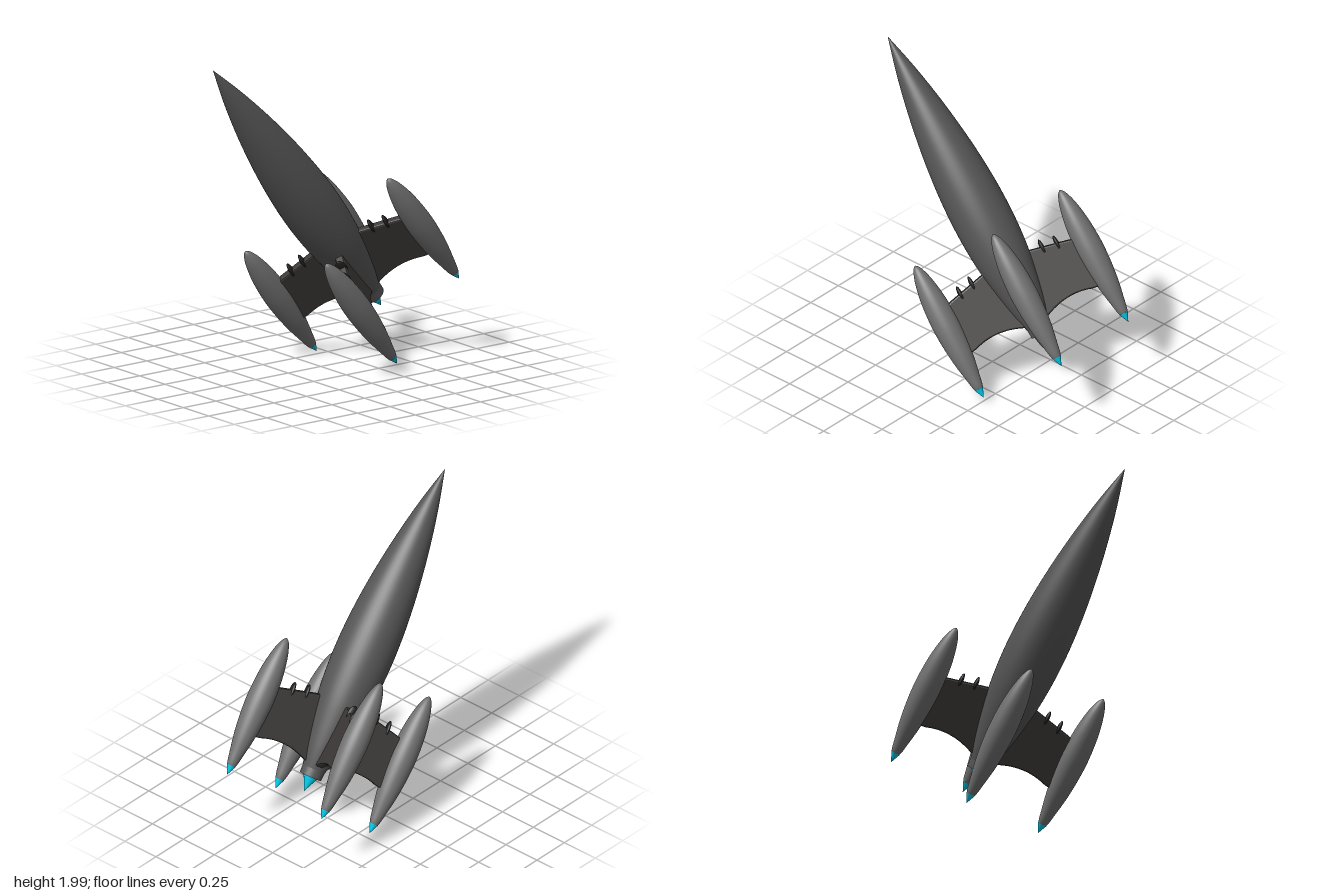
import * as THREE from 'three';

const mat = (color, side = THREE.FrontSide) => new THREE.MeshStandardMaterial({ color, side });
const hullMat = mat(0x555555), podMat = mat(0x707070), finMat = mat(0x3b3836);
const fenceMat = mat(0x1e1e1e), flameMat = mat(0x00c8e8);

function add(parent, name, geometry, material) {
  const mesh = new THREE.Mesh(geometry, material);
  mesh.name = name;
  parent.add(mesh);
  return mesh;
}

// Smooth spindle through [radius, height] points, listed from tail to nose
function spindle(points, segments) {
  const curve = new THREE.SplineCurve(points.map(([r, y]) => new THREE.Vector2(r, y)));
  const profile = curve.getPoints(48).map(p => new THREE.Vector2(Math.max(p.x, 0), p.y));
  return new THREE.LatheGeometry(profile, segments);
}

// Cone of exhaust pointing down, with its base at height y
function flame(parent, name, radius, length, y) {
  const geo = new THREE.ConeGeometry(radius, length, 24);
  geo.rotateX(Math.PI);
  add(parent, name, geo, flameMat).position.y = y - length / 2;
}

// Swept fin outline: x runs outward from the hull, y along it
function finGeometry() {
  const s = new THREE.Shape();
  s.moveTo(0.03, 0.07);
  s.lineTo(0.07, 0.085);
  s.quadraticCurveTo(0.24, 0.165, 0.40, 0.11);
  s.lineTo(0.46, 0.10);
  s.lineTo(0.46, 0.40);
  s.lineTo(0.40, 0.42);
  s.lineTo(0.16, 0.475);
  s.lineTo(0.03, 0.475);
  const geo = new THREE.ExtrudeGeometry(s, {
    depth: 0.028, curveSegments: 12,
    bevelEnabled: true, bevelThickness: 0.012, bevelSize: 0.01, bevelSegments: 2,
  });
  return geo.translate(0, 0, -0.014);
}

export function createModel() {
  const model = new THREE.Group();
  model.name = 'rocket';

  // The whole ship leans over in flight; its own axis is local y
  const ship = new THREE.Group();
  ship.name = 'ship';
  ship.position.set(0.405, 0.39, 0);
  ship.rotation.set(0.008, 0, 0.657);
  model.add(ship);

  // Hull
  add(ship, 'hull', spindle([
    [0.066, 0.03], [0.105, 0.17], [0.14, 0.34], [0.167, 0.52], [0.181, 0.74],
    [0.177, 0.98], [0.155, 1.24], [0.115, 1.52], [0.062, 1.79], [0, 2.035],
  ], 48), hullMat);

  // Nozzle and main flame
  add(ship, 'nozzle', new THREE.CylinderGeometry(0.074, 0.07, 0.075, 32), hullMat).position.y = 0.038;
  flame(ship, 'mainFlame', 0.045, 0.096, 0);

  // Four fins, each carrying two fences and an engine pod
  const finGeo = finGeometry();
  const fenceGeo = new THREE.SphereGeometry(1, 20, 14).scale(0.014, 0.055, 0.032);
  const podGeo = spindle([
    [0, -0.125], [0.026, -0.122], [0.046, -0.03], [0.068, 0.10], [0.081, 0.25],
    [0.082, 0.37], [0.071, 0.51], [0.048, 0.63], [0.022, 0.70], [0, 0.723],
  ], 32);

  for (let i = 0; i < 4; i++) {
    const wing = new THREE.Group();
    wing.name = 'wing' + (i + 1);
    wing.rotation.y = -(THREE.MathUtils.degToRad(37) + i * Math.PI / 2);
    ship.add(wing);

    add(wing, 'fin', finGeo, finMat);
    for (const [r, y] of [[0.24, 0.46], [0.33, 0.44]]) {
      add(wing, 'fence', fenceGeo, fenceMat).position.set(r, y, 0);
    }

    const pod = new THREE.Group();
    pod.name = 'enginePod';
    pod.position.x = 0.494;
    wing.add(pod);
    add(pod, 'podBody', podGeo, podMat);
    flame(pod, 'podFlame', 0.028, 0.062, -0.12);
  }

  return model;
}
